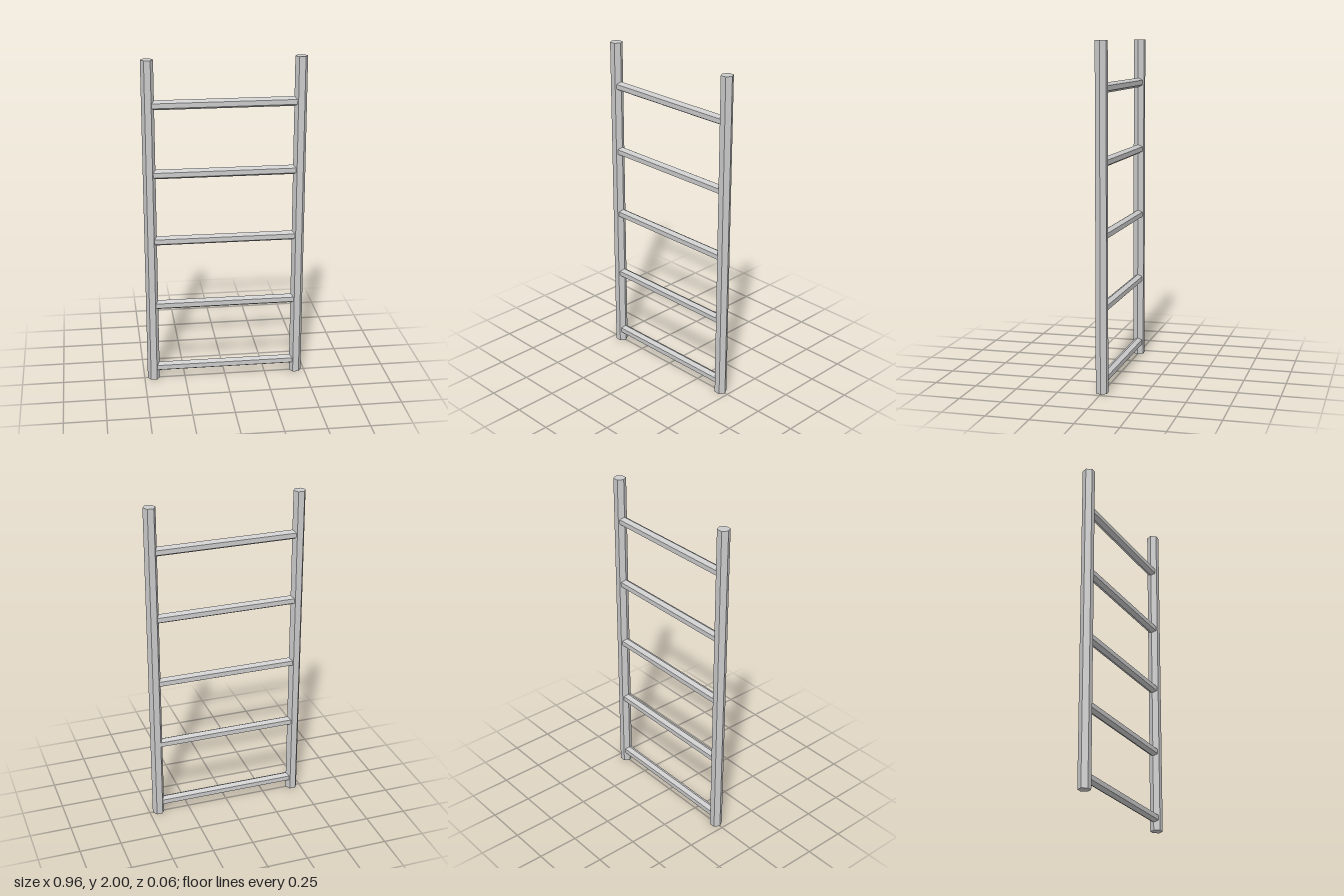
import * as THREE from 'three';

const RAIL_X = 0.444, RAIL_R = 0.037, HEIGHT = 2;
const RUNG_R = 0.029, RUNG_COUNT = 5, FIRST_RUNG = 0.077, RUNG_STEP = 0.4145;

export function createModel() {
  const ladder = new THREE.Group();
  ladder.name = 'ladder';
  const material = new THREE.MeshStandardMaterial({ color: 0xcccccc, flatShading: true });

  // Hexagonal bar along y with corners pointing to +x and -x
  const hexBar = (radius, length) =>
    new THREE.CylinderGeometry(radius, radius, length, 6).rotateY(Math.PI / 2);

  const add = (geometry, name, x, y) => {
    const mesh = new THREE.Mesh(geometry, material);
    mesh.name = name;
    mesh.position.set(x, y, 0);
    ladder.add(mesh);
  };

  // Two upright side rails
  const rail = hexBar(RAIL_R, HEIGHT);
  add(rail, 'leftRail', RAIL_X, HEIGHT / 2);
  add(rail, 'rightRail', -RAIL_X, HEIGHT / 2);

  // Evenly spaced rungs, corner up, ending inside the rails
  const rung = hexBar(RUNG_R, RAIL_X * 2).rotateZ(Math.PI / 2);
  for (let i = 0; i < RUNG_COUNT; i++) {
    add(rung, `rung${i + 1}`, 0, FIRST_RUNG + i * RUNG_STEP);
  }

  return ladder;
}
